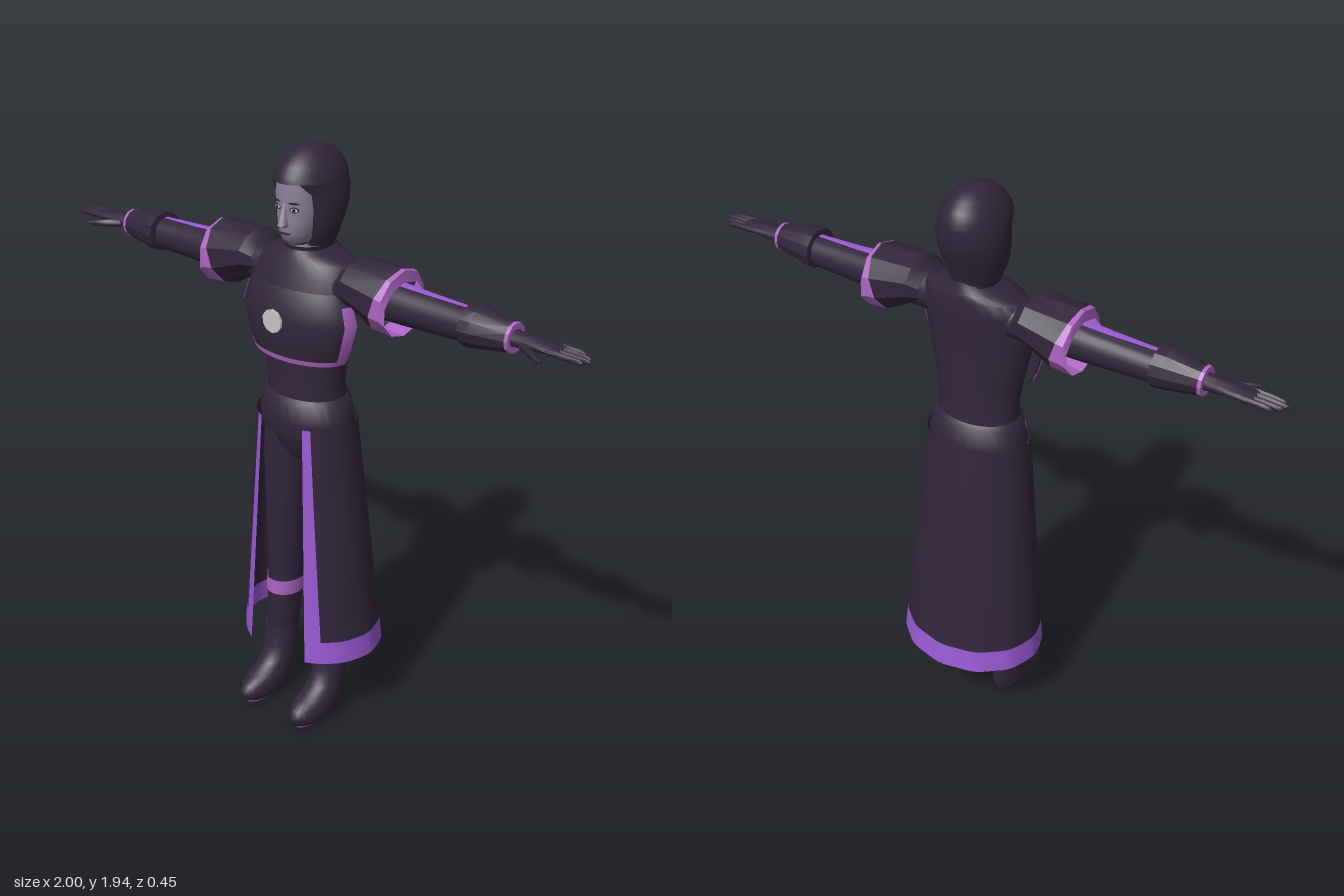
import * as THREE from 'three';
import { toCreasedNormals } from 'three/addons/utils/BufferGeometryUtils.js';

const TAU = Math.PI * 2;

// Skin over elliptical rings. Row: [t, centreA, centreB, radiusA, radiusB, shear].
// axis 'y': A = x, B = z, angle 0 faces +z.  axis 'x': A = y, B = z, angle 0 faces +y.
function loft(rows, { n = 28, axis = 'y', from = () => 0, to = () => TAU, caps = false, fold = () => 1 } = {}) {
  const pos = [], idx = [];
  const put = (t, a, b) => pos.push(...(axis === 'y' ? [a, t, b] : [t, a, b]));
  for (const [t, ca, cb, ra, rb, shear = 0] of rows) {
    for (let i = 0; i <= n; i++) {
      const a = from(t) + (to(t) - from(t)) * i / n, k = fold(a, t);
      const s = Math.sin(a) * k, c = Math.cos(a) * k;
      if (axis === 'y') put(t, ca + ra * s, cb + rb * c);
      else put(t + shear * c, ca + ra * c, cb + rb * s);
    }
  }
  const w = n + 1;
  for (let j = 0; j < rows.length - 1; j++) for (let i = 0; i < n; i++) {
    const p = j * w + i;
    idx.push(p, p + 1, p + w, p + 1, p + w + 1, p + w);
  }
  if (caps) for (const j of [0, rows.length - 1]) {
    const centre = pos.length / 3;
    put(rows[j][0], rows[j][1], rows[j][2]);
    for (let i = 0; i < n; i++) {
      const p = j * w + i;
      if (j) idx.push(centre, p, p + 1); else idx.push(centre, p + 1, p);
    }
  }
  const g = new THREE.BufferGeometry();
  g.setAttribute('position', new THREE.Float32BufferAttribute(pos, 3));
  g.setIndex(idx);
  return g;
}

// Upright ring from height, centre x, half width, front z and back z
const ring = (y, cx, rx, zf, zb) => [y, cx, (zf + zb) / 2, rx, (zf - zb) / 2];
const rings = list => list.map(r => ring(...r));

function mirrored(g) {
  const m = g.clone().scale(-1, 1, 1), ix = m.index;
  for (let i = 0; i < ix.count; i += 3) {
    const b = ix.getX(i + 1);
    ix.setX(i + 1, ix.getX(i + 2));
    ix.setX(i + 2, b);
  }
  return m;
}

export function createModel() {
  const model = new THREE.Group();
  model.name = 'robedFigure';
  const mat = (name, color) => new THREE.MeshStandardMaterial({ name, color, side: THREE.DoubleSide });
  const cloth = mat('darkCloth', 0x32263b);
  const violet = mat('violetTrim', 0x9a5ad4);
  const orchid = mat('orchidTrim', 0xae66c4);
  const skin = mat('paleSkin', 0x8c8099);
  const silver = mat('silver', 0xc8c2c4);

  const add = (name, geo, material, crease = 0.8) => {
    const bare = geo.clone();
    bare.deleteAttribute('uv');
    bare.deleteAttribute('normal');
    const mesh = new THREE.Mesh(toCreasedNormals(bare, crease), material);
    mesh.name = name;
    model.add(mesh);
  };
  const pair = (name, geo, material, crease) => {
    add(name + 'Left', geo, material, crease);
    add(name + 'Right', mirrored(geo), material, crease);
  };

  // Torso, hips and shoulder mantle
  add('torso', loft(rings([
    [1.13, 0, .142, .12, -.085], [1.2, 0, .135, .117, -.077], [1.3, 0, .15, .12, -.075],
    [1.42, 0, .178, .125, -.075], [1.5, 0, .188, .12, -.08], [1.56, 0, .18, .1, -.085]]), { caps: true }), cloth);
  add('mantle', loft(rings([
    [1.515, 0, .19, .132, -.092], [1.56, 0, .188, .117, -.095], [1.6, 0, .165, .1, -.092],
    [1.62, 0, .1, .09, -.09], [1.635, 0, .065, .08, -.082], [1.66, 0, .058, .085, -.075]])), cloth);
  add('hips', loft(rings([
    [.93, 0, .1, .07, -.07], [.98, 0, .145, .1, -.09], [1.05, 0, .16, .118, -.1], [1.1, 0, .155, .12, -.1]]), { caps: true }), cloth);
  add('waistFlap', loft(rings([
    [1.035, 0, .166, .13, -.11], [1.08, 0, .167, .138, -.108], [1.155, 0, .15, .127, -.097], [1.165, 0, .138, .115, -.085]])), cloth);

  // Chest plate with trimmed sides and lower edge
  const half = Math.PI / 2;
  const plate = (grow, ys) => ys.map(y => {
    const keys = [[1.295, .168, .1], [1.34, .188, .112], [1.43, .212, .12], [1.49, .195, .107], [1.525, .178, .088]];
    const k = Math.max(1, keys.findIndex(q => q[0] >= y)), [p, q] = [keys[k - 1], keys[k]];
    const f = (y - p[0]) / (q[0] - p[0]);
    return [y, 0, .04, p[1] + (q[1] - p[1]) * f + grow, p[2] + (q[2] - p[2]) * f + grow];
  });
  const sides = { from: () => -half, to: () => half };
  add('chestPlate', loft(plate(0, [1.295, 1.34, 1.43, 1.49, 1.525]), sides), cloth);
  add('chestTrimLower', loft(plate(.004, [1.295, 1.312]), sides), orchid);
  pair('chestTrimSide', loft(plate(.004, [1.295, 1.34, 1.43, 1.49]), { n: 6, from: () => 1.22, to: () => half }), orchid);
  add('medallion', new THREE.CylinderGeometry(.037, .037, .008, 10).rotateX(half).translate(0, 1.432, .176), silver);

  // Open robe, flaring to the hem
  const robe = ys => ys.map(y => {
    const d = (1.08 - y) / .83;
    return [y, 0, .018 - .031 * d, .174 + .071 * d, .138 + .069 * d];
  });
  const fold = (a, y) => 1 + .012 * Math.cos(12 * a) * (1.08 - y) * (1 - Math.cos(a)) / 2;
  const edge = y => .66 + .09 * (1.08 - y) / .83;
  const wrap = { n: 72, from: edge, to: y => TAU - edge(y), fold };
  add('robe', loft(robe([.33, .5, .7, .9, 1.08]), wrap), cloth);
  add('robeHem', loft(robe([.25, .29, .33]), wrap), violet);
  pair('robeFrontTrim', loft(robe([.25, .33, .5, .7, .9, 1.08]), { n: 4, from: () => .5, to: edge, fold }), violet);

  // Legs, knee bands, boots and soles
  pair('leg', loft(rings([
    [.2, .11, .054, .08, -.035], [.32, .1, .055, .082, -.04], [.42, .09, .058, .085, -.045],
    [.55, .087, .06, .09, -.05], [.75, .085, .068, .095, -.065], [.93, .081, .078, .1, -.08], [1.02, .077, .075, .1, -.08]])), cloth);
  pair('kneeBand', loft(rings([[.395, .092, .061, .09, -.049], [.45, .09, .063, .092, -.051]])), orchid);
  pair('boot', loft(rings([
    [.006, .11, .038, .195, .0], [.016, .11, .051, .215, -.02], [.045, .11, .058, .225, -.03], [.07, .11, .056, .212, -.033],
    [.09, .11, .055, .17, -.033], [.12, .11, .054, .115, -.033], [.17, .11, .055, .088, -.034], [.25, .108, .057, .084, -.037]]), { caps: true }), cloth);
  pair('sole', loft(rings([[0, .11, .034, .2, .005], [.009, .11, .042, .207, -.008]]), { caps: true }), orchid);

  // Arms with a tapered stripe along the top
  const X = { axis: 'x' };
  pair('arm', loft([
    [.14, 1.54, .01, .06, .07], [.3, 1.535, .015, .064, .06], [.4, 1.53, .015, .058, .054],
    [.62, 1.53, .018, .049, .049]], X), cloth);
  pair('armStripe', loft([[.36, 1.532, .017, .064, .059], [.45, 1.532, .017, .058, .056], [.6, 1.532, .018, .053, .053]],
    { axis: 'x', n: 6, from: x => -.3 + (x - .36) * .6, to: x => .3 - (x - .36) * .6 }), violet);

  // Faceted shoulder guards with slanted trim
  const guard = { axis: 'x', n: 10 };
  pair('shoulderGuard', loft([
    [.165, 1.555, .01, .05, .08], [.2, 1.565, .01, .072, .1], [.32, 1.537, .01, .1, .108, .032]], guard), cloth, .5);
  pair('shoulderTrim', loft([
    [.32, 1.537, .01, .1, .108, .032], [.352, 1.533, .01, .1, .108, .012], [.366, 1.515, .01, .084, .1]], guard), orchid, .5);

  // Forearm cuffs
  pair('cuff', loft([
    [.603, 1.535, .018, .05, .05], [.606, 1.537, .02, .064, .07], [.64, 1.537, .02, .063, .067], [.748, 1.535, .02, .044, .044]],
    { axis: 'x', n: 12 }), cloth, .5);
  pair('cuffTrim', loft([[.746, 1.535, .02, .046, .046], [.757, 1.535, .02, .045, .045], [.757, 1.535, .02, .026, .03]],
    { axis: 'x', n: 12 }), orchid, .5);

  // Hands
  pair('palm', loft([
    [.74, 1.535, .02, .024, .03], [.79, 1.535, .02, .022, .03], [.84, 1.538, .02, .018, .036], [.89, 1.537, .02, .013, .036],
    [.905, 1.537, .02, .008, .033]], { axis: 'x', n: 16, caps: true }), cloth);
  [.965, .99, 1, .985].forEach((tip, i) => {
    const z = -.007 + i * .018;
    pair('finger' + (i + 1), loft([
      [.87, 1.537, z, .01, .009], [.94, 1.535, z, .0095, .0085], [tip - .008, 1.533, z, .008, .007], [tip, 1.533, z, .003, .003]],
      { axis: 'x', n: 8, caps: true }), cloth);
  });
  pair('thumb', loft([
    [.785, 1.53, .035, .014, .016], [.83, 1.527, .062, .013, .015], [.865, 1.525, .085, .01, .012], [.887, 1.525, .098, .004, .005]],
    { axis: 'x', n: 10, caps: true }), cloth);

  // Hood: closed crown, open front, closed throat
  const crown = rings([
    [1.845, 0, .098, .132, -.13], [1.865, 0, .092, .126, -.127], [1.89, 0, .079, .108, -.113],
    [1.915, 0, .06, .08, -.09], [1.932, 0, .036, .045, -.052], [1.94, 0, .01, .008, -.012]]);
  add('hoodCrown', loft(crown, { n: 36, caps: true }), cloth, 1);
  const opening = y => .5 + .26 * Math.min(1, Math.sin(Math.PI * Math.min(1, Math.max(0, (y - 1.63) / .23))) * 1.4);
  add('hoodSides', loft(rings([
    [1.645, 0, .076, .075, -.075], [1.68, 0, .092, .088, -.085], [1.72, 0, .102, .1, -.103],
    [1.765, 0, .107, .105, -.122], [1.81, 0, .106, .108, -.131], [1.845, 0, .098, .132, -.13]]),
    { n: 36, from: opening, to: y => TAU - opening(y) }), cloth, 1);
  add('hoodThroat', loft(rings([[1.6, 0, .062, .075, -.078], [1.645, 0, .074, .085, -.075], [1.66, 0, .06, .07, -.06]])), cloth);

  // Face
  add('face', loft(rings([
    [1.65, 0, .022, .09, .02], [1.663, 0, .042, .108, 0], [1.69, 0, .057, .117, -.02], [1.73, 0, .067, .119, -.03],
    [1.765, 0, .071, .117, -.03], [1.8, 0, .073, .121, -.03], [1.855, 0, .07, .115, -.03]]), { caps: true }), skin, 1.2);
  add('nose', loft(rings([
    [1.71, 0, .01, .124, .1], [1.719, 0, .015, .145, .1], [1.74, 0, .01, .136, .1], [1.785, 0, .006, .12, .1]]), { n: 10, caps: true }), skin, 1);
  // Flat facial details, turned to follow the cheek
  const disc = (w, h, x, y, z, turn) => new THREE.CylinderGeometry(1, 1, .004, 14)
    .rotateX(half).scale(w, h, 1).rotateY(turn).translate(x, y, z);
  pair('eyeRim', disc(.015, .0085, .031, 1.766, .109, .3), cloth);
  pair('eyeWhite', disc(.0115, .0055, .0316, 1.766, .111, .3), silver);
  pair('pupil', disc(.005, .0055, .0322, 1.766, .113, .3), cloth);
  pair('brow', disc(.017, .003, .032, 1.786, .112, .3), cloth);
  add('mouth', disc(.02, .0035, 0, 1.69, .1165, 0), cloth);

  return model;
}
